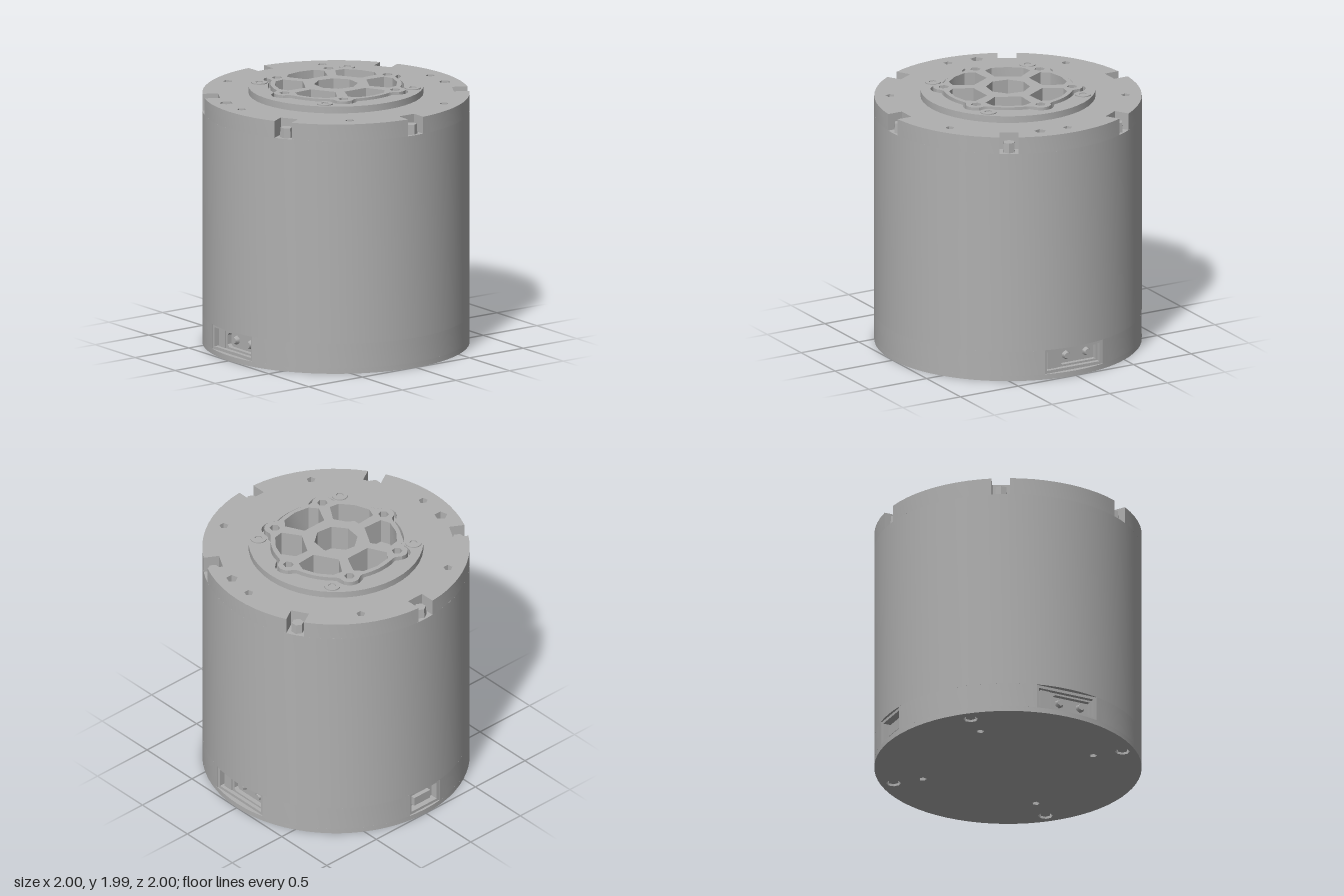
import * as THREE from 'three';
import { toCreasedNormals } from 'three/addons/utils/BufferGeometryUtils.js';

const metal = new THREE.MeshStandardMaterial({ color: 0xb0b0b0 });
metal.name = 'grey metal';
const rad = (d) => d * Math.PI / 180;
const polar = (r, deg) => new THREE.Vector2(r * Math.cos(rad(deg)), r * Math.sin(rad(deg)));

function add(parent, name, geometry, x = 0, y = 0, z = 0) {
  const mesh = new THREE.Mesh(geometry, metal);
  mesh.name = name;
  mesh.position.set(x, y, z);
  parent.add(mesh);
  return mesh;
}

// Extrudes a plan shape upward from y0 to y1 (plan y becomes -z)
function layer(parent, name, shape, y0, y1) {
  const g = new THREE.ExtrudeGeometry(shape, { depth: y1 - y0, bevelEnabled: false, curveSegments: 24 });
  g.rotateX(-Math.PI / 2);
  return add(parent, name, toCreasedNormals(g, 0.5), 0, y0, 0);
}

// Circle of radius 1 with straight-sided cuts: [angle in degrees, half width, inner distance]
function notchedDisc(cuts) {
  const pts = [];
  const arc = (a, b) => {
    const n = Math.max(2, Math.round((b - a) / 5));
    for (let i = 0; i <= n; i++) pts.push(polar(1, a + (b - a) * i / n));
  };
  if (!cuts.length) {
    for (let i = 0; i < 72; i++) pts.push(polar(1, i * 5));
    return new THREE.Shape(pts);
  }
  cuts.forEach(([a, hw, inner], i) => {
    const half = Math.asin(hw) * 180 / Math.PI;
    const o = new THREE.Vector2();
    pts.push(new THREE.Vector2(inner, -hw).rotateAround(o, rad(a)));
    pts.push(new THREE.Vector2(inner, hw).rotateAround(o, rad(a)));
    const next = cuts[(i + 1) % cuts.length];
    const end = next[0] + (i === cuts.length - 1 ? 360 : 0) - Math.asin(next[1]) * 180 / Math.PI;
    arc(a + half, end);
  });
  return new THREE.Shape(pts);
}

// Polygonal hole with a given number of sides
function hole(shape, x, y, r, sides = 6) {
  const pts = [];
  for (let i = 0; i < sides; i++) pts.push(polar(r, i * 360 / sides + 15).add(new THREE.Vector2(x, y)));
  shape.holes.push(new THREE.Path(pts));
}

// Round plate outline with six bolt lobes
function lobedPoints(grow) {
  const pts = [];
  for (let a = 0; a < 360; a += 3) {
    const off = rad(((a + 30) % 60) - 30);
    const s = 0.48 * Math.sin(off), lobe = 0.08 + grow;
    const reach = Math.abs(s) < lobe ? 0.48 * Math.cos(off) + Math.sqrt(lobe * lobe - s * s) : 0;
    pts.push(polar(Math.max(0.49 + grow, reach), a));
  }
  return pts;
}

function rect(x0, y0, x1, y1) {
  return [[x0, y0], [x1, y0], [x1, y1], [x0, y1]].map(([x, y]) => new THREE.Vector2(x, y));
}

// Connector port: frame and socket, facing local +z
function port(name, hw, floor, face, large) {
  const g = new THREE.Group();
  g.name = name;
  const outer = new THREE.Shape(rect(-hw, 0.04, hw, 0.23));
  outer.holes.push(new THREE.Path(rect(-hw + 0.022, 0.062, hw - 0.022, 0.208)));
  add(g, 'portFrame', new THREE.ExtrudeGeometry(outer, { depth: face - floor, bevelEnabled: false }), 0, 0, floor);
  if (large) {
    add(g, 'portBlock', new THREE.BoxGeometry(0.08, 0.14, 0.04), -0.165, 0.135, floor + 0.02);
    const socket = new THREE.Shape(rect(-0.12, 0.065, 0.225, 0.205));
    socket.holes.push(new THREE.Path([[-0.1, 0.1], [-0.08, 0.08], [0.21, 0.08], [0.21, 0.19], [-0.08, 0.19], [-0.1, 0.17]]
      .map(([x, y]) => new THREE.Vector2(x, y))));
    add(g, 'socketRim', new THREE.ExtrudeGeometry(socket, { depth: 0.035, bevelEnabled: false }), 0, 0, floor);
    for (const x of [-0.03, 0.145]) {
      add(g, 'socketPin', new THREE.CylinderGeometry(0.025, 0.035, 0.03, 6).rotateX(Math.PI / 2), x, 0.14, floor + 0.015);
    }
  } else {
    add(g, 'socketBlock', new THREE.BoxGeometry(0.16, 0.07, 0.04), 0, 0.12, floor + 0.02);
  }
  return g;
}

export function createModel() {
  const model = new THREE.Group();
  model.name = 'motorHousing';

  // Base plate with screw recesses underneath
  const base = notchedDisc([]);
  for (let a = 45; a < 360; a += 90) {
    const p = polar(0.9, a), q = polar(0.67, a);
    hole(base, p.x, p.y, 0.055, 8);
    hole(base, q.x, q.y, 0.03, 5);
    add(model, 'baseScrew', new THREE.CylinderGeometry(0.04, 0.04, 0.03, 6), p.x, 0.025, -p.y);
  }
  layer(model, 'basePlate', base, 0, 0.04);

  // Lower band opened for three ports, then the plain barrel
  layer(model, 'portBand', notchedDisc([[0, 0.25, 0.9], [90, 0.15, 0.92], [180, 0.25, 0.9]]), 0.04, 0.23);
  layer(model, 'barrel', notchedDisc([]), 0.23, 1.79);
  const ports = [
    [port('leftPort', 0.25, 0.9, 0.962, true), Math.PI / 2],
    [port('rightPort', 0.25, 0.9, 0.962, true), -Math.PI / 2],
    [port('backPort', 0.15, 0.92, 0.98, false), Math.PI],
  ];
  for (const [p, turn] of ports) {
    p.rotation.y = turn;
    model.add(p);
  }

  // Top rim with six notches, bolts and small holes
  const angles = [30, 90, 150, 210, 270, 330];
  const rim = notchedDisc(angles.map((a) => [a, 0.07, 0.88]));
  for (let a = 0; a < 360; a += 60) {
    const p = polar(0.88, a);
    hole(rim, p.x, p.y, 0.035, 5);
  }
  hole(rim, -0.85, 0.23, 0.05, 5);
  hole(rim, 0.85, -0.22, 0.045, 5);
  rim.holes.push(new THREE.Path(lobedPoints(0)));
  layer(model, 'topRim', rim, 1.79, 1.92);
  for (const a of angles) {
    const p = polar(0.935, a);
    add(model, 'rimBolt', toCreasedNormals(new THREE.CylinderGeometry(0.045, 0.05, 0.075, 6), 0.5), p.x, 1.8275, -p.y);
  }

  // Raised ring around the output plate
  const ring = new THREE.Shape();
  ring.absarc(0, 0, 0.655, 0, Math.PI * 2);
  ring.holes.push(new THREE.Path(lobedPoints(0.02)));
  layer(model, 'raisedRing', ring, 1.92, 1.972);
  for (const a of [45, 135, 225, 315]) {
    const p = polar(0.58, a);
    const washer = new THREE.Shape();
    washer.absarc(p.x, p.y, 0.06, 0, Math.PI * 2);
    hole(washer, p.x, p.y, 0.03, 6);
    layer(model, 'ringWasher', washer, 1.97, 1.98);
  }

  // Output plate: lobed, with hub opening, bolt holes and six windows
  const plate = new THREE.Shape(lobedPoints(0));
  hole(plate, 0, 0, 0.165, 8);
  const windowPts = [[0.24, -0.1], [0.38, -0.17], [0.44, -0.12], [0.46, 0], [0.44, 0.12], [0.38, 0.17], [0.24, 0.1]];
  for (let a = 0; a < 360; a += 60) {
    const p = polar(0.48, a);
    hole(plate, p.x, p.y, 0.04, 6);
    plate.holes.push(new THREE.Path(windowPts.map(([x, y]) =>
      new THREE.Vector2(x, y).rotateAround(new THREE.Vector2(), rad(a + 30)))));
  }
  layer(model, 'outputPlate', plate, 1.785, 1.988);

  // Screws seen inside three of the windows
  for (const a of [90, 210, 330]) {
    const p = polar(0.39, a);
    add(model, 'innerScrew', toCreasedNormals(new THREE.CylinderGeometry(0.06, 0.06, 0.06, 6), 0.5), p.x, 1.82, -p.y);
  }
  return model;
}
